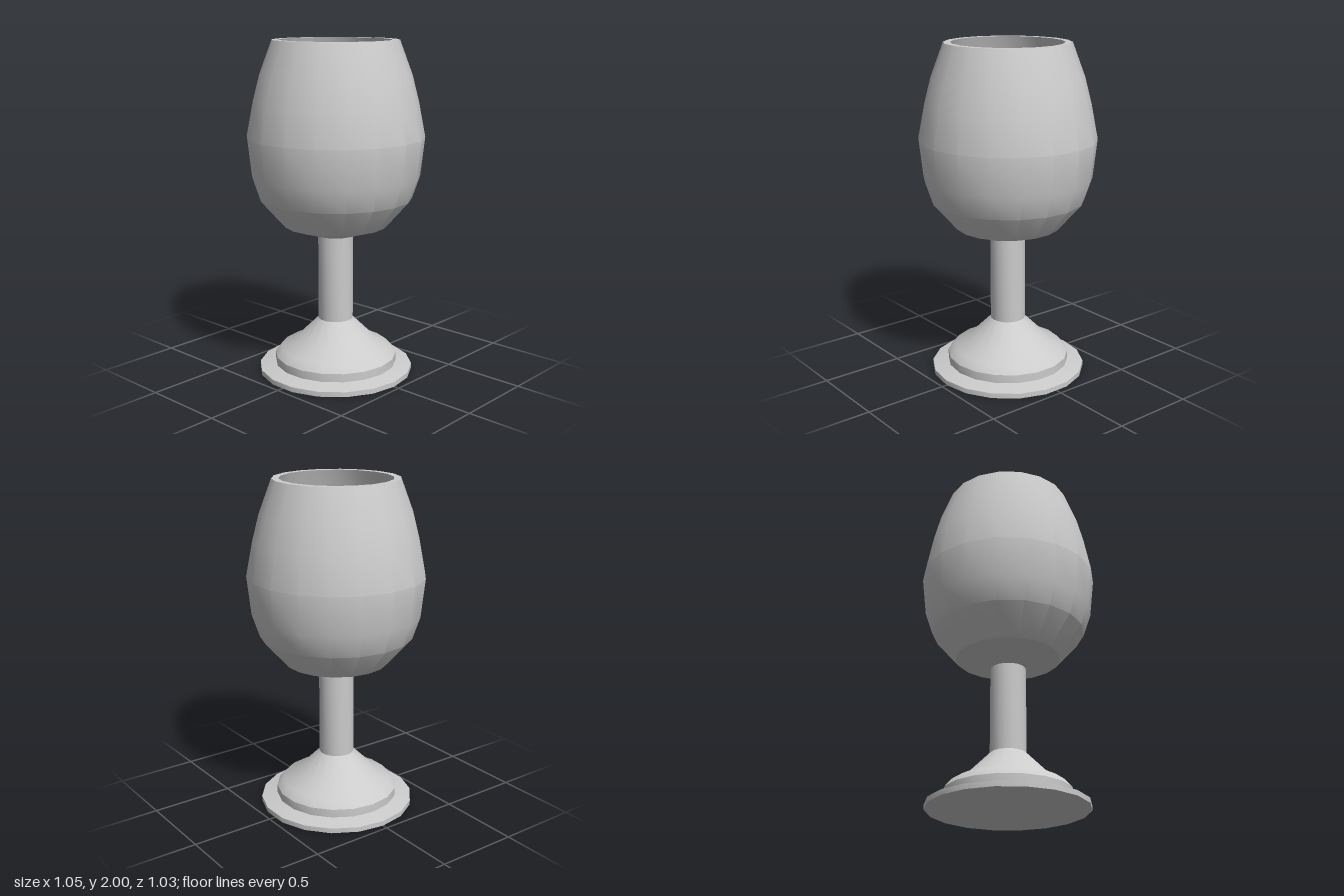
import * as THREE from 'three';
import { toCreasedNormals } from 'three/addons/utils/BufferGeometryUtils.js';

const SIDES = 18;
const material = new THREE.MeshStandardMaterial({ color: 0xcccccc });

// Turned part from [radius, height] pairs, with a corner on the x axis
function turned(name, profile) {
  const points = profile.map(([r, y]) => new THREE.Vector2(r, y));
  const lathe = new THREE.LatheGeometry(points, SIDES, Math.PI / 2);
  const mesh = new THREE.Mesh(toCreasedNormals(lathe, 0.45), material);
  mesh.name = name;
  return mesh;
}

export function createModel() {
  const goblet = new THREE.Group();
  goblet.name = 'goblet';

  // Foot: flat disc, stepped ring and a cone rising to the stem
  goblet.add(turned('foot', [
    [0, 0], [0.467, 0], [0.467, 0.03], [0.37, 0.05], [0.37, 0.1],
    [0.33, 0.145], [0.24, 0.19], [0.105, 0.325],
  ]));

  goblet.add(turned('stem', [[0.105, 0.325], [0.105, 0.845]]));

  // Bowl: outer wall up to the rim, then the inner wall down to the bottom
  goblet.add(turned('bowl', [
    [0.105, 0.845], [0.31, 0.91], [0.455, 1.075], [0.5, 1.21],
    [0.525, 1.44], [0.485, 1.645], [0.445, 1.8], [0.37, 2],
    [0.328, 2], [0.405, 1.79], [0.445, 1.64], [0.485, 1.44],
    [0.46, 1.22], [0.42, 1.1], [0.29, 0.95], [0.1, 0.89], [0, 0.885],
  ]));

  return goblet;
}
